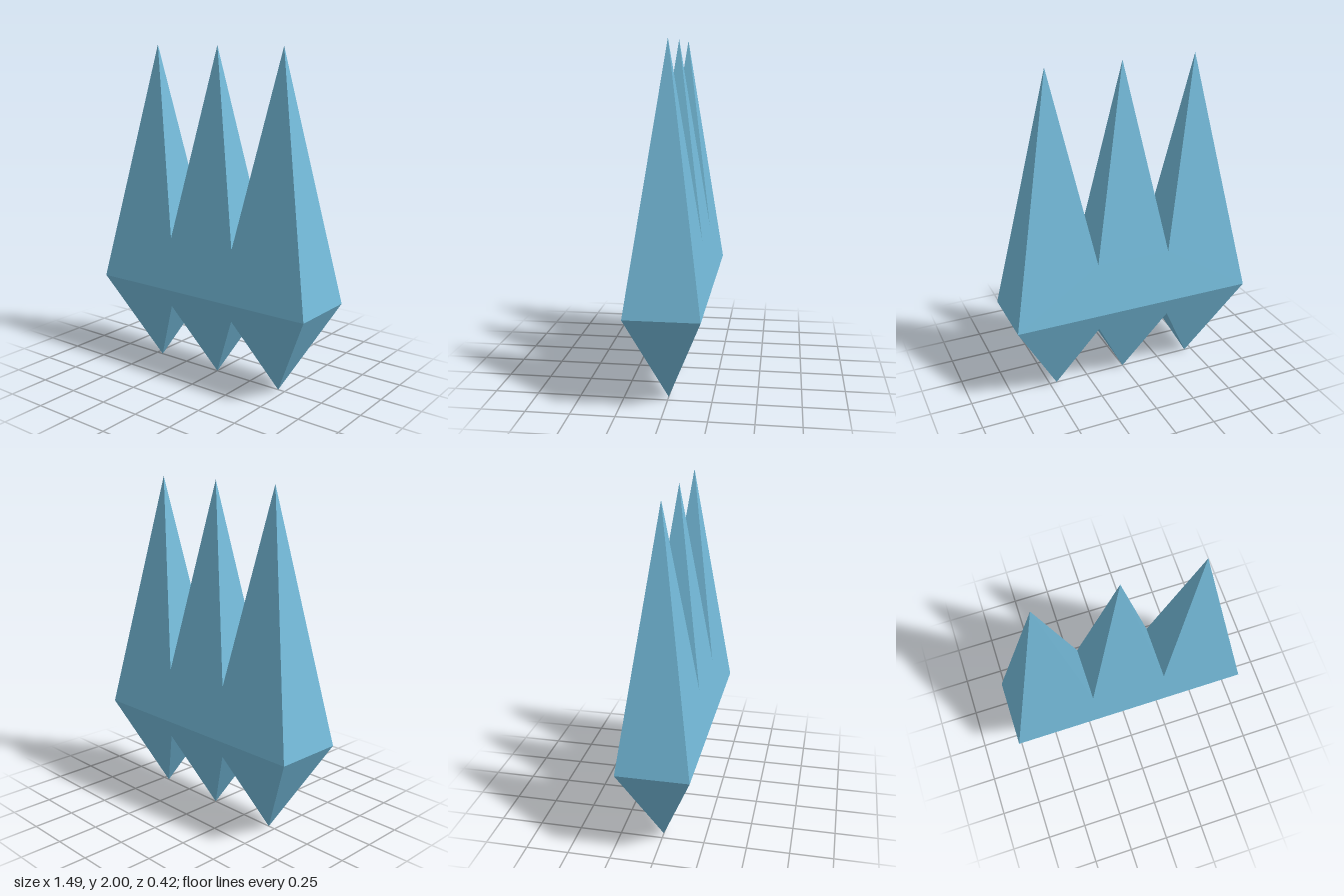
import * as THREE from 'three';

const MID = 0.54;       // height of the widest belt
const HALF_W = 0.29;    // half width of one crystal at the belt
const HALF_D = 0.21;    // half depth at the belt
const SPACING = 0.455;  // distance between crystals

// One half of the joined cluster: from the belt to a row of three points.
function spikeRow(tipY) {
  const valley = SPACING / 2 / HALF_W; // 0 at a tip, 1 at the belt
  const profile = [
    [-SPACING - HALF_W, 1], [-SPACING, 0], [-SPACING / 2, valley], [0, 0],
    [SPACING / 2, valley], [SPACING, 0], [SPACING + HALF_W, 1],
  ];
  if (tipY < MID) profile.reverse();
  const pts = profile.map(([x, t]) => new THREE.Vector2(x, tipY + (MID - tipY) * t));
  const at = (i, side) => [pts[i].x, pts[i].y, side * HALF_D * profile[i][1]];
  const pos = [];
  const tri = (...corners) => corners.forEach((c) => pos.push(...c));

  // Sloping front and back faces
  for (const f of THREE.ShapeUtils.triangulateShape(pts, [])) {
    const ccw = THREE.ShapeUtils.area(f.map((i) => pts[i])) > 0;
    const [a, b, c] = ccw ? f : [f[0], f[2], f[1]];
    tri(at(a, 1), at(b, 1), at(c, 1));
    tri(at(a, -1), at(c, -1), at(b, -1));
  }
  // Triangular flanks of every spike
  for (let i = 0; i < pts.length - 1; i++) {
    if (profile[i][1] === 0) tri(at(i, 1), at(i + 1, 1), at(i + 1, -1));
    else tri(at(i, 1), at(i + 1, 1), at(i, -1));
  }

  const geo = new THREE.BufferGeometry();
  geo.setAttribute('position', new THREE.Float32BufferAttribute(pos, 3));
  geo.computeVertexNormals();
  return geo;
}

export function createModel() {
  const group = new THREE.Group();
  group.name = 'crystalCluster';
  const iceBlue = new THREE.MeshStandardMaterial({ color: 0x74bbda });
  iceBlue.name = 'iceBlue';
  iceBlue.flatShading = true;

  // Tall points above the belt, short points below it
  for (const [name, tipY] of [['upperSpikes', 2], ['lowerSpikes', 0]]) {
    const mesh = new THREE.Mesh(spikeRow(tipY), iceBlue);
    mesh.name = name;
    group.add(mesh);
  }
  return group;
}
